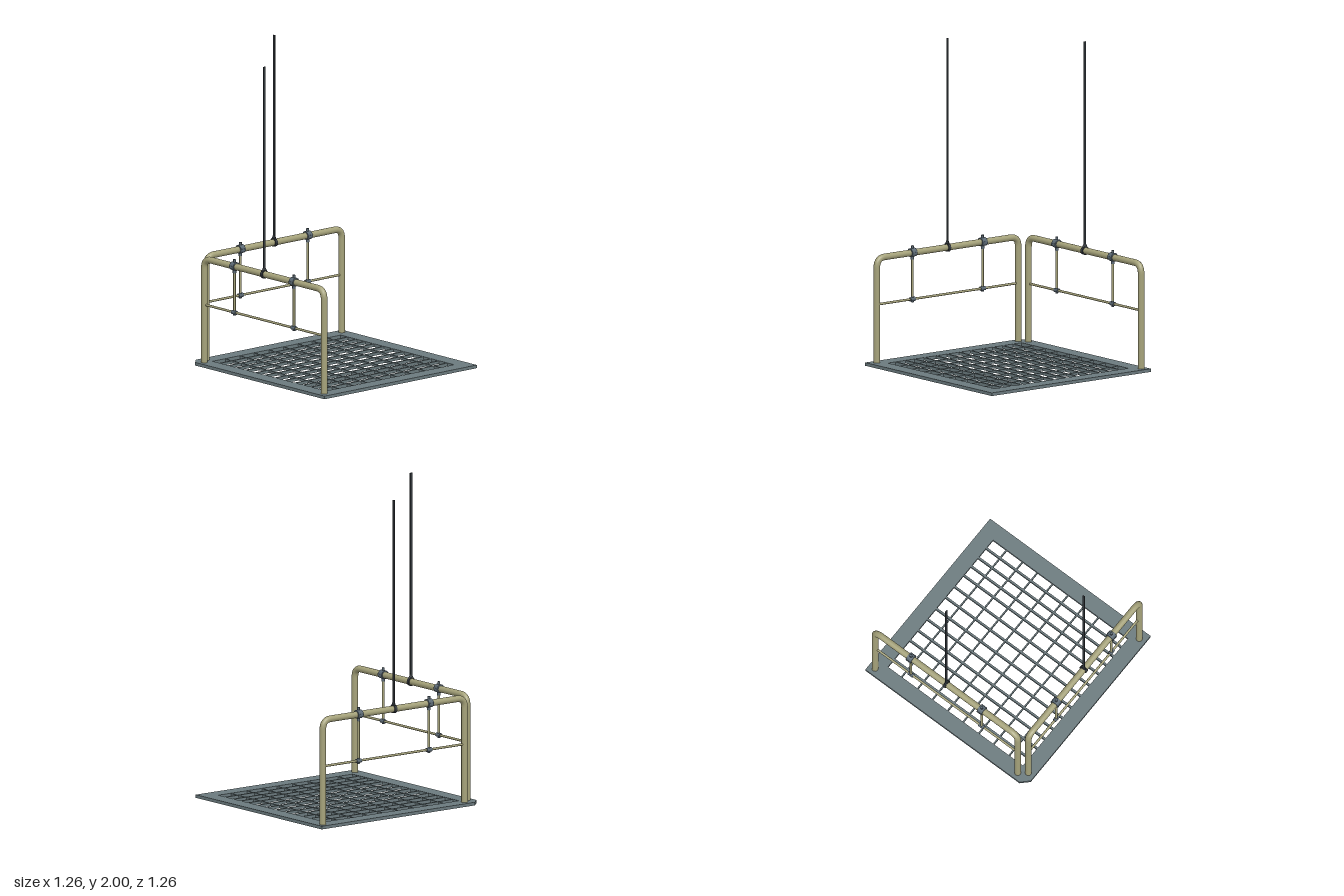
import * as THREE from 'three';

const paint = (color) => new THREE.MeshStandardMaterial({ color });
const RAIL = paint(0xa5a27a), STEEL = paint(0x6b7a7e), CLAMP = paint(0x5c6a75), DARK = paint(0x33383d);

function add(parent, name, geometry, material, x = 0, y = 0, z = 0) {
  const mesh = new THREE.Mesh(geometry, material);
  mesh.name = name;
  mesh.position.set(x, y, z);
  parent.add(mesh);
  return mesh;
}

// Floor plate with one cut corner and a square opening filled by a grating
function makePlatform() {
  const group = new THREE.Group();
  group.name = 'platform';
  const S = 0.63, H = 0.53, T = 0.02, C = 0.05;
  const outline = new THREE.Shape([[-S, -S + C], [-S + C, -S], [S, -S], [S, S], [-S, S]]
    .map(([x, y]) => new THREE.Vector2(x, y)));
  outline.holes.push(new THREE.Path([[-H, -H], [-H, H], [H, H], [H, -H]]
    .map(([x, y]) => new THREE.Vector2(x, y))));
  const plate = new THREE.ExtrudeGeometry(outline, { depth: T, bevelEnabled: false });
  plate.rotateX(-Math.PI / 2);
  add(group, 'platformFrame', plate, STEEL);

  const longBars = [-0.467, -0.385, -0.306, -0.223, -0.13, -0.042, 0.054, 0.143, 0.237, 0.312, 0.384, 0.463];
  const crossBars = [-0.424, -0.298, -0.182, -0.062, 0.059, 0.182, 0.298, 0.42];
  for (const x of longBars) add(group, 'gratingBar', new THREE.BoxGeometry(0.013, T - 0.002, 2 * H), STEEL, x, T / 2, 0);
  for (const z of crossBars) add(group, 'gratingCrossBar', new THREE.BoxGeometry(2 * H, T - 0.006, 0.009), STEEL, 0, T / 2, z);
  return group;
}

// Bent pipe hoop running along local x
function hoopGeometry(half, top, bend, radius) {
  const v = (x, y) => new THREE.Vector3(x, y, 0);
  const path = new THREE.CurvePath();
  path.add(new THREE.LineCurve3(v(-half, 0.015), v(-half, top - bend)));
  path.add(new THREE.QuadraticBezierCurve3(v(-half, top - bend), v(-half, top), v(-half + bend, top)));
  path.add(new THREE.LineCurve3(v(-half + bend, top), v(half - bend, top)));
  path.add(new THREE.QuadraticBezierCurve3(v(half - bend, top), v(half, top), v(half, top - bend)));
  path.add(new THREE.LineCurve3(v(half, top - bend), v(half, 0.015)));
  return new THREE.TubeGeometry(path, 160, radius, 16);
}

// Collar around a pipe that runs along x
function collar(parent, name, radius, width, material, x, y) {
  const g = new THREE.CylinderGeometry(radius, radius, width, 16);
  g.rotateZ(Math.PI / 2);
  return add(parent, name, g, material, x, y, 0);
}

function makeGuardRail() {
  const group = new THREE.Group();
  const HALF = 0.56, TOP = 0.68, MID = 0.387;
  add(group, 'railHoop', hoopGeometry(HALF, TOP, 0.06, 0.0205), RAIL);
  const mid = new THREE.CylinderGeometry(0.0075, 0.0075, 2 * HALF, 10);
  mid.rotateZ(Math.PI / 2);
  add(group, 'midRail', mid, RAIL, 0, MID, 0);

  // Hangers with clamps and bolts at each end
  for (const x of [-0.278, 0.278]) {
    add(group, 'hangerRod', new THREE.CylinderGeometry(0.008, 0.008, TOP - MID, 10), RAIL, x, (TOP + MID) / 2, 0);
    collar(group, 'upperClamp', 0.027, 0.038, CLAMP, x, TOP + 0.002);
    add(group, 'clampFlange', new THREE.BoxGeometry(0.038, 0.012, 0.058), CLAMP, x, TOP, 0);
    add(group, 'upperBolt', new THREE.CylinderGeometry(0.009, 0.009, 0.022, 6), CLAMP, x, 0.714, 0);
    add(group, 'clampNeck', new THREE.CylinderGeometry(0.011, 0.011, 0.02, 10), CLAMP, x, 0.648, 0);
    collar(group, 'lowerClamp', 0.013, 0.038, CLAMP, x, MID);
    add(group, 'lowerBolt', new THREE.CylinderGeometry(0.009, 0.009, 0.036, 6), CLAMP, x, MID - 0.001, 0);
  }

  // Strap looped over the middle of the top pipe
  collar(group, 'strapLoop', 0.027, 0.018, DARK, 0, TOP);
  const taper = new THREE.CylinderGeometry(0.009, 0.03, 0.035, 4);
  taper.rotateY(Math.PI / 4);
  taper.scale(0.3, 1, 1);
  add(group, 'strapTaper', taper, DARK, 0, 0.71, 0);
  add(group, 'strap', new THREE.BoxGeometry(0.007, 1.29, 0.015), DARK, 0, 1.355, 0);
  return group;
}

export function createModel() {
  const model = new THREE.Group();
  model.name = 'suspendedPlatform';
  model.add(makePlatform());

  const front = makeGuardRail();
  front.name = 'frontGuardRail';
  front.position.set(0.014, 0, 0.584);
  model.add(front);

  const side = makeGuardRail();
  side.name = 'rightGuardRail';
  side.rotation.y = Math.PI / 2;
  side.position.set(-0.586, 0, -0.028);
  model.add(side);
  return model;
}
